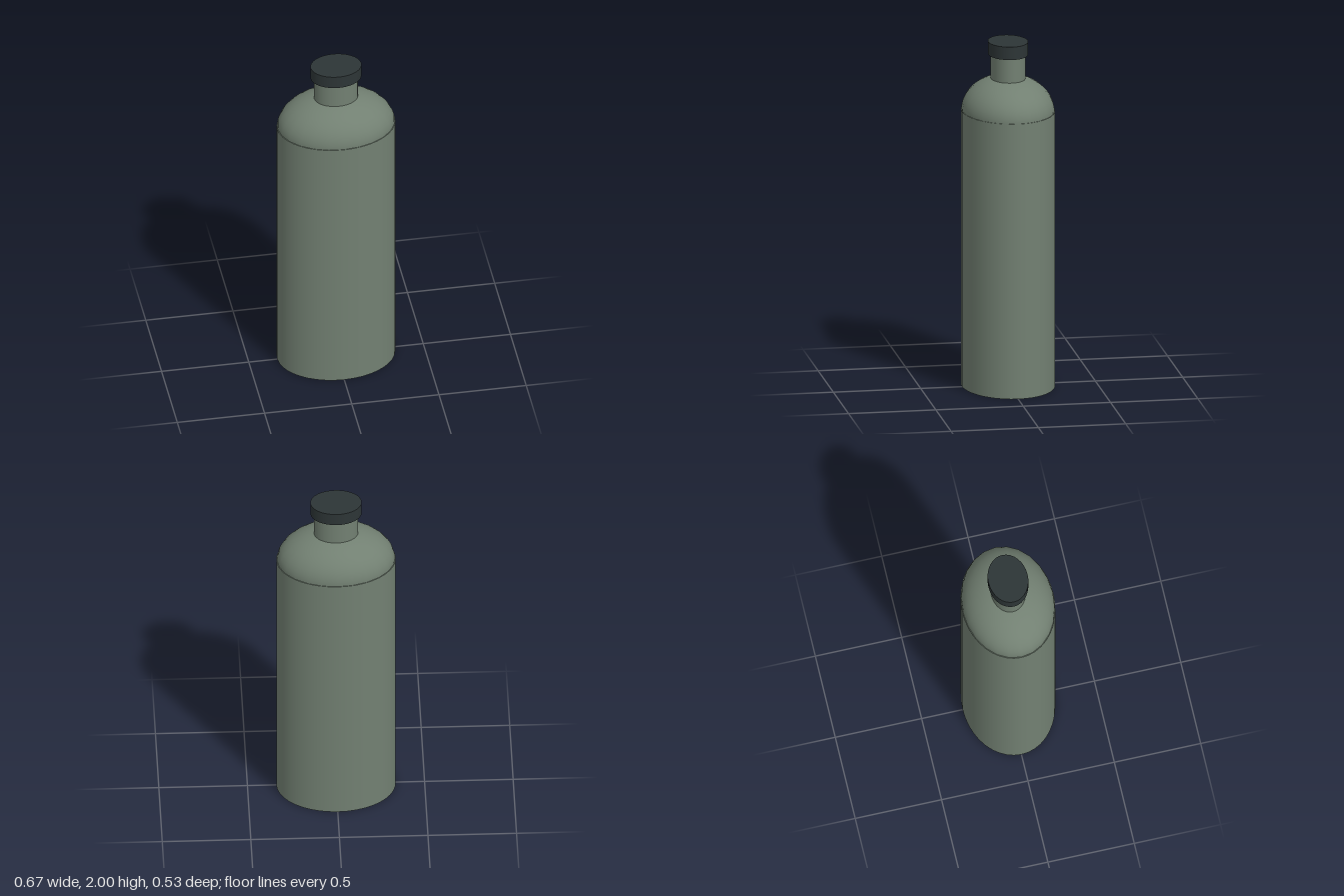
import * as THREE from 'three';

export function createModel() {
  const bottle = new THREE.Group();
  bottle.name = 'bottle';
  const green = new THREE.MeshStandardMaterial({ color: 0x728072 });
  green.name = 'sage green';
  const dark = new THREE.MeshStandardMaterial({ color: 0x2d3536 });
  dark.name = 'dark slate';

  // The whole flask is oval: every round part is squashed front to back
  const oval = 0.78;
  const add = (name, geometry, material, y, sy = 1) => {
    const mesh = new THREE.Mesh(geometry, material);
    mesh.name = name;
    mesh.position.y = y;
    mesh.scale.set(1, sy, oval);
    bottle.add(mesh);
  };
  const drum = (name, radius, y0, y1, sides, material) =>
    add(name, new THREE.CylinderGeometry(radius, radius, y1 - y0, sides), material, (y0 + y1) / 2);

  drum('body', 0.337, 0, 1.6, 40, green);

  // Flattened half dome forming the shoulder
  const dome = new THREE.SphereGeometry(0.334, 24, 12, 0, Math.PI * 2, 0, Math.PI / 2);
  add('shoulder', dome, green, 1.6, 0.2 / 0.334);

  drum('neck', 0.125, 1.74, 1.93, 32, green);
  drum('cap', 0.145, 1.925, 2, 32, dark);

  return bottle;
}
